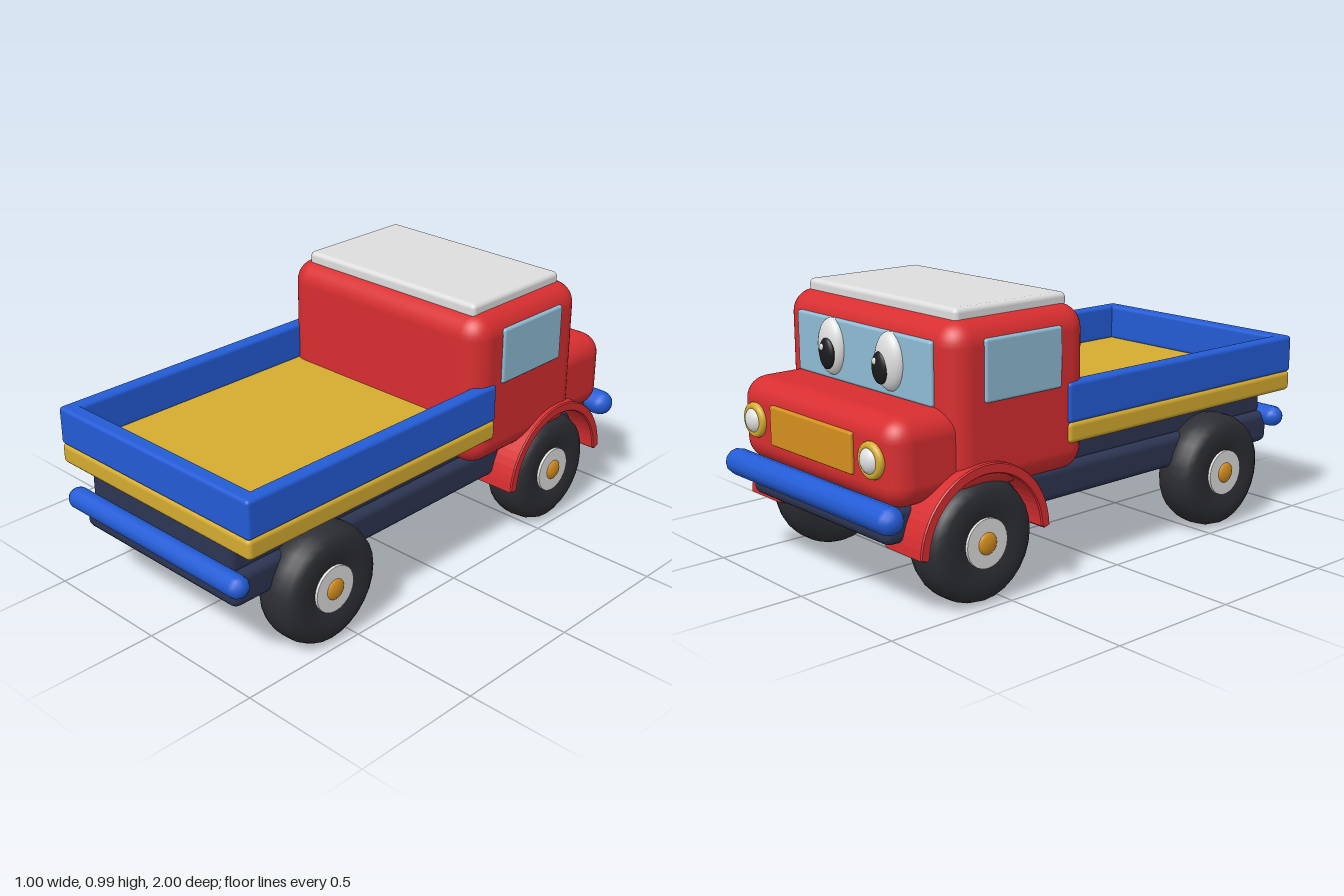
import * as THREE from 'three';
import { RoundedBoxGeometry } from 'three/addons/geometries/RoundedBoxGeometry.js';

const paint = (name, color) => {
  const m = new THREE.MeshStandardMaterial({ color });
  m.name = name;
  return m;
};

export function createModel() {
  const truck = new THREE.Group();
  truck.name = 'toyTruck';

  const red = paint('red', 0xd82e30);
  const blue = paint('blue', 0x235cd6);
  const yellow = paint('yellow', 0xd6ac30);
  const orange = paint('orange', 0xd6901e);
  const white = paint('white', 0xdedede);
  const navy = paint('navy', 0x2d3553);
  const rubber = paint('rubber', 0x2d2e33);
  const glass = paint('glass', 0x8fbdd6);
  const black = paint('black', 0x1b1b1f);

  const add = (name, geometry, material, x = 0, y = 0, z = 0, parent = truck) => {
    const mesh = new THREE.Mesh(geometry, material);
    mesh.name = name;
    mesh.position.set(x, y, z);
    parent.add(mesh);
    return mesh;
  };

  // Rounded box given by its extents on each axis
  const box = (name, material, [x0, x1], [y0, y1], [z0, z1], radius, segments = 2) =>
    add(name, new RoundedBoxGeometry(x1 - x0, y1 - y0, z1 - z0, segments, radius), material,
      (x0 + x1) / 2, (y0 + y1) / 2, (z0 + z1) / 2);

  const ball = (name, material, r, [sx, sy, sz], x, y, z) =>
    add(name, new THREE.SphereGeometry(r, 20, 14), material, x, y, z).scale.set(sx, sy, sz);

  // Chassis
  box('lowerChassis', navy, [-0.395, 0.395], [0.26, 0.385], [-0.93, 0.955], 0.03);
  box('upperChassis', navy, [-0.365, 0.365], [0.37, 0.495], [-0.6, 0.94], 0.025);

  // Load bed
  box('bedFloor', yellow, [-0.485, 0.485], [0.485, 0.562], [-0.225, 0.967], 0.018);
  box('rearBedWall', blue, [-0.485, 0.485], [0.558, 0.7], [0.905, 0.967], 0.014);
  for (const s of [-1, 1]) {
    const xs = s > 0 ? [0.43, 0.485] : [-0.485, -0.43];
    box('sideBedWall', blue, xs, [0.558, 0.7], [-0.225, 0.967], 0.014);
  }

  // Cab, hood and roof
  box('cab', red, [-0.475, 0.475], [0.38, 0.96], [-0.717, -0.12], 0.085, 4);
  box('hood', red, [-0.45, 0.45], [0.38, 0.68], [-0.935, -0.6], 0.08, 4);
  box('roof', white, [-0.41, 0.41], [0.94, 0.995], [-0.655, -0.17], 0.018);

  // Windows
  box('windshield', glass, [-0.375, 0.375], [0.68, 0.895], [-0.73, -0.69], 0.01);
  for (const s of [-1, 1]) {
    const xs = s > 0 ? [0.45, 0.484] : [-0.484, -0.45];
    box('sideWindow', glass, xs, [0.69, 0.9], [-0.592, -0.257], 0.01);
  }

  // Grille and bumpers
  box('grille', orange, [-0.235, 0.235], [0.47, 0.61], [-0.948, -0.91], 0.008);
  const bumper = (name, r, half, y, z) => {
    add(name, new THREE.CapsuleGeometry(r, 2 * (half - r), 4, 12), blue, 0, y, z).rotation.z = Math.PI / 2;
  };
  bumper('frontBumper', 0.048, 0.485, 0.37, -0.952);
  bumper('rearBumper', 0.041, 0.453, 0.366, 0.959);

  // Eyes and headlights
  for (const s of [-1, 1]) {
    ball('eye', white, 0.1, [0.7, 1, 0.4], s * 0.163, 0.797, -0.728);
    ball('pupil', black, 0.055, [0.72, 1, 0.3], s * 0.15, 0.778, -0.762);
    ball('eyeGlint', white, 0.012, [1, 1, 0.5], s * 0.15 + 0.012, 0.8, -0.775);
    add('headlightRing', new THREE.TorusGeometry(0.048, 0.015, 10, 24), yellow, s * 0.335, 0.54, -0.94);
    ball('headlight', white, 0.047, [1, 1, 0.75], s * 0.335, 0.54, -0.938);
  }

  // Wheels, with the tire revolved around the axle
  const tireProfile = [
    [0.07, -0.07], [0.1, -0.08], [0.14, -0.085], [0.178, -0.083], [0.203, -0.066], [0.215, -0.036],
    [0.218, 0], [0.215, 0.036], [0.203, 0.066], [0.178, 0.083], [0.14, 0.085], [0.1, 0.08], [0.07, 0.07],
  ].map(([r, h]) => new THREE.Vector2(r, h));
  const tireGeometry = new THREE.LatheGeometry(tireProfile, 28);
  const hubGeometry = new THREE.CylinderGeometry(0.086, 0.086, 0.172, 24);
  const capGeometry = new THREE.SphereGeometry(0.04, 16, 10);

  // Fender arch with a slightly flared foot at each end
  const R = 0.272, r = 0.243;
  const arch = new THREE.Shape();
  arch.moveTo(R, 0.01);
  arch.absarc(0, 0, R, 0.05, Math.PI - 0.05, false);
  arch.lineTo(-R, 0.01);
  arch.lineTo(-r - 0.01, 0.005);
  arch.absarc(0, 0, r, Math.PI - 0.05, 0.05, true);
  arch.lineTo(r + 0.01, 0.005);
  const fenderGeometry = new THREE.ExtrudeGeometry(arch, {
    depth: 0.18, curveSegments: 14, bevelEnabled: true, bevelSize: 0.004, bevelThickness: 0.005, bevelSegments: 1,
  });
  fenderGeometry.translate(0, 0, -0.09);

  for (const s of [-1, 1]) {
    for (const [label, z] of [['front', -0.592], ['rear', 0.594]]) {
      const wheel = new THREE.Group();
      wheel.name = label + 'Wheel';
      wheel.position.set(s * 0.4, 0.222, z);
      wheel.rotation.z = -s * Math.PI / 2;
      add('tire', tireGeometry, rubber, 0, 0, 0, wheel);
      add('hub', hubGeometry, white, 0, 0, 0, wheel);
      add('hubCap', capGeometry, orange, 0, 0.083, 0, wheel).scale.y = 0.4;
      truck.add(wheel);
    }
    add('fender', fenderGeometry, red, s * 0.4, 0.22, -0.598).rotation.y = Math.PI / 2;
  }

  return truck;
}
